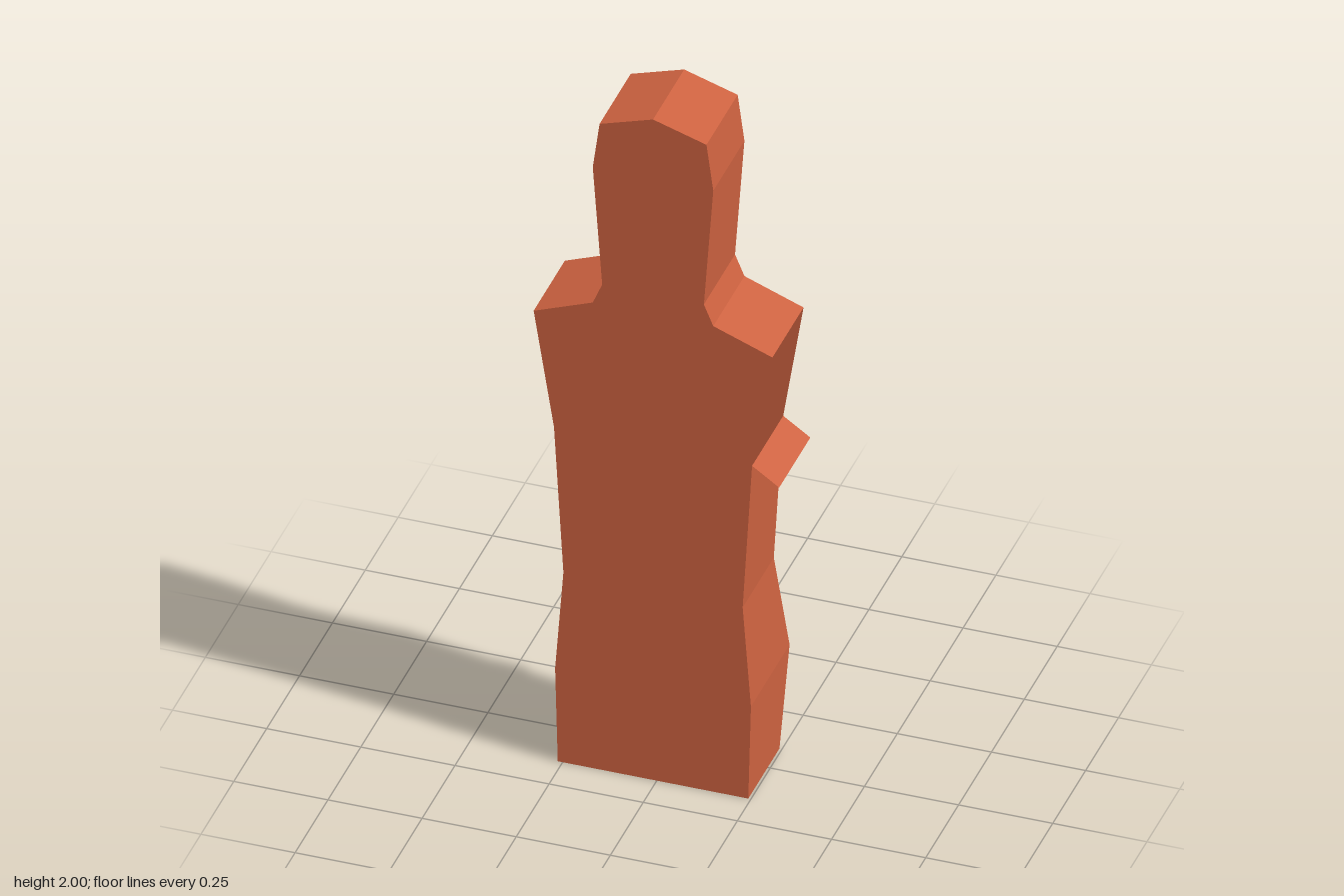
import * as THREE from 'three';

const FRONT = 0.147, BACK = -0.09, BULGE = -0.147, AXIS = -0.01;

// Half outline from base to crown: [half width, y, z of the rear edge]
const HALF = [
  [0.253, 0, BACK], [0.26, 0.28, BULGE], [0.238, 0.575, BACK], [0.263, 1.01, BACK],
  [0.317, 1.35, BACK], [0.16, 1.41, BACK], [0.135, 1.47, BACK], [0.16, 1.82, BACK], [0.142, 1.955, BACK],
];
const place = (side) => ([w, y, z]) => new THREE.Vector3(AXIS + side * w, y, z);
// Full outline, clockwise from the lower -x corner to the lower +x corner
const OUTLINE = [
  ...HALF.map(place(-1)),
  new THREE.Vector3(AXIS, 2, BACK),
  ...HALF.map(place(1)).reverse(),
];

const flatShape = (points) =>
  new THREE.ShapeGeometry(new THREE.Shape(points.map((p) => new THREE.Vector2(p.x, p.y))));

// Flat quads from the front plane to the rear edge, one per pair of points
function wallGeometry(pairs) {
  const positions = [];
  for (const [a, b] of pairs) {
    const af = [a.x, a.y, FRONT], bf = [b.x, b.y, FRONT];
    positions.push(...af, ...bf, ...b.toArray(), ...af, ...b.toArray(), ...a.toArray());
  }
  const g = new THREE.BufferGeometry();
  g.setAttribute('position', new THREE.Float32BufferAttribute(positions, 3));
  g.computeVertexNormals();
  return g;
}

// Smooth lower back: three rows whose middle corners swell backwards
function lowerBackGeometry() {
  const positions = [], index = [];
  for (const [w, y, z] of [HALF[2], HALF[1], HALF[0]]) {
    for (const [x, depth] of [[-w, z], [-0.127, BACK], [0.127, BACK], [w, z]]) {
      positions.push(AXIS + x, y, depth);
    }
  }
  for (let r = 0; r < 2; r++) {
    for (let c = 0; c < 3; c++) {
      const a = r * 4 + c, b = a + 1, d = a + 4, e = a + 5;
      // Diagonals run away from the swollen corners
      if ((r === 0) === (c === 0)) index.push(a, b, d, b, e, d);
      else index.push(a, b, e, a, e, d);
    }
  }
  const g = new THREE.BufferGeometry();
  g.setAttribute('position', new THREE.Float32BufferAttribute(positions, 3));
  g.setIndex(index);
  g.computeVertexNormals();
  return g;
}

export function createModel() {
  const group = new THREE.Group();
  group.name = 'targetFigure';
  const clay = new THREE.MeshStandardMaterial({ color: 0xcd6240, side: THREE.DoubleSide });
  clay.name = 'terracotta';
  const add = (name, geometry) => {
    const mesh = new THREE.Mesh(geometry, clay);
    mesh.name = name;
    group.add(mesh);
    return mesh;
  };

  // Front silhouette
  add('frontPanel', flatShape(OUTLINE).translate(0, 0, FRONT));

  // Upper back, turned to face the rear
  add('upperBackPanel', flatShape(OUTLINE.slice(2, -2)).rotateY(Math.PI).translate(2 * AXIS, 0, BACK));
  add('lowerBackPanel', lowerBackGeometry());

  // Rim walls; the base and both chest sides stay open
  const pairs = [];
  for (let i = 0; i < OUTLINE.length - 1; i++) {
    const a = OUTLINE[i], b = OUTLINE[i + 1];
    const chest = Math.min(a.y, b.y) === 1.01 && Math.max(a.y, b.y) === 1.35;
    if (!chest) pairs.push([a, b]);
  }
  add('rimWalls', wallGeometry(pairs));

  // Small flap folded out below the +x opening
  add('sideFlap', wallGeometry([
    [new THREE.Vector3(0.253, 1.01, BACK), new THREE.Vector3(0.325, 0.96, BACK)],
  ]));

  return group;
}
